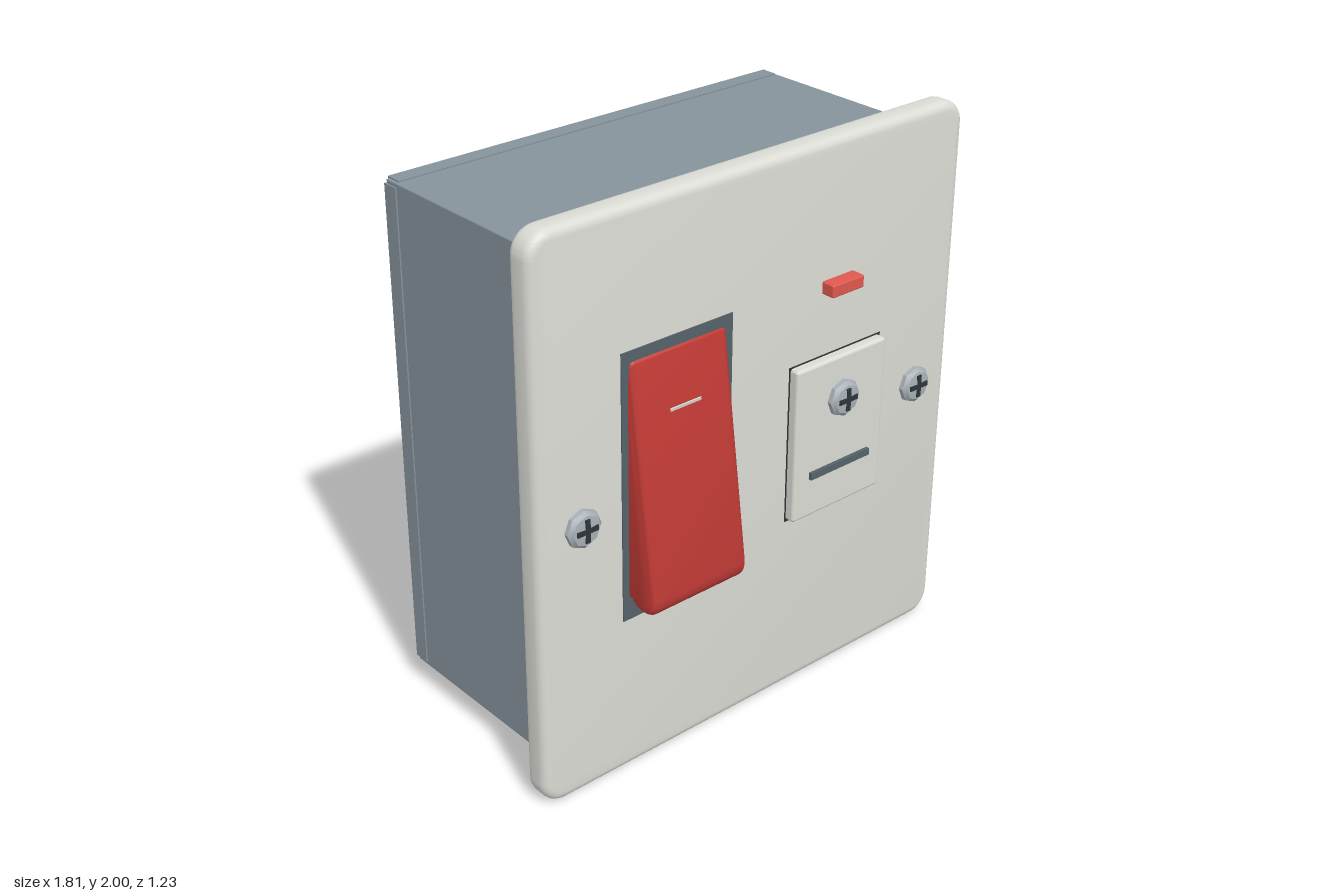
import * as THREE from 'three';
import { toCreasedNormals } from 'three/addons/utils/BufferGeometryUtils.js';
import { RoundedBoxGeometry } from 'three/addons/geometries/RoundedBoxGeometry.js';

const mat = (color) => new THREE.MeshStandardMaterial({ color });
const M = {
  white: mat(0xdcdcd6), steel: mat(0x87939c), frame: mat(0x56626a), red: mat(0xc03a35),
  neon: mat(0xe0594f), screw: mat(0xa9b1b8), dark: mat(0x2f3638), beige: mat(0xcdc5b0),
  brass: mat(0xc09a55), blue: mat(0x3f70b0), brown: mat(0x7a4526), green: mat(0x2f8a48), yellow: mat(0xd8c832),
};

function add(parent, name, geo, material, x = 0, y = 0, z = 0) {
  const mesh = new THREE.Mesh(geo, material);
  mesh.name = name;
  mesh.position.set(x, y, z);
  parent.add(mesh);
  return mesh;
}

// Box given by its limits, optionally with rounded edges
function box(parent, name, material, [x0, x1], [y0, y1], [z0, z1], r = 0) {
  const s = [x1 - x0, y1 - y0, z1 - z0];
  const geo = r ? new RoundedBoxGeometry(...s, 3, r) : new THREE.BoxGeometry(...s);
  return add(parent, name, geo, material, (x0 + x1) / 2, (y0 + y1) / 2, (z0 + z1) / 2);
}

function roundedRect(w, h, r) {
  const s = new THREE.Shape(), x = w / 2, y = h / 2;
  s.absarc(x - r, y - r, r, 0, Math.PI / 2);
  s.absarc(-x + r, y - r, r, Math.PI / 2, Math.PI);
  s.absarc(-x + r, -y + r, r, Math.PI, Math.PI * 1.5);
  s.absarc(x - r, -y + r, r, Math.PI * 1.5, Math.PI * 2);
  return s;
}

// Domed screw head facing +z, its base at the group origin
function screwHead(name, r, h, cross) {
  const g = new THREE.Group();
  g.name = name;
  const pts = [[0, 0], [r, 0], [r, h * 0.5], [r * 0.8, h * 0.85], [0, h]].map((p) => new THREE.Vector2(...p));
  const geo = new THREE.LatheGeometry(pts, cross ? 8 : 16).rotateX(Math.PI / 2);
  add(g, 'screwDome', toCreasedNormals(geo, 0.6), M.screw);
  const w = r * 0.13, l = r * 0.62;
  box(g, 'driverSlot', M.dark, [-l, l], [-w, w], [h * 0.6, h * 1.04]);
  if (cross) box(g, 'driverSlot', M.dark, [-w, w], [-l, l], [h * 0.6, h * 1.04]);
  return g;
}

// Screw clamp seen from the rear; origin on the shelf underside, z = 0 at the base block face
function terminal(pinMaterial) {
  const g = new THREE.Group();
  g.name = 'terminal';
  for (const s of [-1, 1]) {
    const side = (a, b) => [Math.min(s * a, s * b), Math.max(s * a, s * b)];
    box(g, 'insulatorCheek', M.dark, side(0.11, 0.135), [0.03, 0.23], [-0.11, 0]);
    box(g, 'clampSide', M.brass, side(0.088, 0.11), [0.03, 0.21], [-0.1, 0]);
  }
  box(g, 'insulatorBack', M.dark, [-0.11, 0.11], [0.03, 0.23], [-0.015, 0]);
  // Brass face with a round wire opening
  const face = new THREE.Shape([[-0.09, 0.03], [0.09, 0.03], [0.09, 0.15], [-0.09, 0.15]].map((p) => new THREE.Vector2(...p)));
  face.holes.push(new THREE.Path().absarc(0, 0.09, 0.045, 0, Math.PI * 2, true));
  add(g, 'clampFace', new THREE.ExtrudeGeometry(face, { depth: 0.015, bevelEnabled: false, curveSegments: 12 }), M.brass, 0, 0, -0.1);
  add(g, 'clampRing', new THREE.TorusGeometry(0.055, 0.012, 8, 20), M.brass, 0, 0.09, -0.1);
  box(g, 'pressurePlate', M.screw, [-0.088, 0.088], [0.15, 0.24], [-0.112, -0.1]);
  box(g, 'pressureTop', M.screw, [-0.088, 0.088], [0.15, 0.17], [-0.1, -0.015]);
  // Threaded shaft and slotted head
  add(g, 'screwShaft', new THREE.CylinderGeometry(0.022, 0.022, 0.13, 12).rotateX(Math.PI / 2), M.screw, 0, 0.17, -0.085);
  for (let i = 0; i < 4; i++) add(g, 'thread', new THREE.TorusGeometry(0.023, 0.007, 6, 14), M.screw, 0, 0.17, -0.03 - i * 0.02);
  const head = screwHead('terminalScrew', 0.05, 0.03, false);
  head.rotation.set(0, Math.PI, 0.5);
  head.position.set(0, 0.17, -0.142);
  g.add(head);
  // Coloured wire marker under the shelf
  box(g, 'wireMarker', pinMaterial, [-0.085, 0.085], [-0.035, 0.01], [-0.11, -0.05], 0.015);
  if (pinMaterial === M.green) box(g, 'wireMarkerStripe', M.yellow, [-0.03, 0.03], [-0.037, 0], [-0.1, -0.06]);
  return g;
}

// Base block and shelf carrying one or more terminals
function terminalBlock(x0, x1, y, entries) {
  const g = new THREE.Group();
  g.name = 'terminalBlock';
  box(g, 'blockBase', M.beige, [x0, x1], [y, y + 0.3], [-0.44, -0.375], 0.02);
  box(g, 'blockShelf', M.beige, [x0, x1], [y, y + 0.025], [-0.59, -0.42], 0.01);
  if (entries.length > 1) box(g, 'divider', M.beige, [-0.01, 0.01], [y, y + 0.3], [-0.59, -0.42]);
  for (const [x, material] of entries) {
    const t = terminal(material);
    t.position.set(x, y, -0.44);
    g.add(t);
  }
  return g;
}

export function createModel() {
  const model = new THREE.Group();
  model.name = 'switchedSpur';

  // Face plate with softened edges
  const plate = new THREE.ExtrudeGeometry(roundedRect(1.81, 2, 0.085), {
    depth: 0.04, bevelThickness: 0.03, bevelSize: 0.03, bevelOffset: -0.03, bevelSegments: 4, curveSegments: 8,
  });
  add(model, 'facePlate', toCreasedNormals(plate, 0.7), M.white, 0, 1, 0.42);

  // Steel back box: open frame, rear panel and folded lips
  const wall = roundedRect(1.62, 1.8, 0.005);
  wall.holes.push(new THREE.Path([[-0.79, -0.88], [-0.79, 0.88], [0.79, 0.88], [0.79, -0.88]].map((p) => new THREE.Vector2(...p))));
  add(model, 'boxWalls', new THREE.ExtrudeGeometry(wall, { depth: 0.72, bevelEnabled: false, curveSegments: 2 }), M.steel, 0, 1, -0.35);
  box(model, 'boxRear', M.steel, [-0.805, 0.805], [0.105, 1.895], [-0.36, -0.34]);
  for (const s of [-1, 1]) {
    add(model, 'foldedLip', new THREE.BoxGeometry(0.01, 1.77, 0.06), M.steel, s * 0.81, 1, -0.33);
    add(model, 'foldedLip', new THREE.BoxGeometry(1.6, 0.01, 0.06), M.steel, 0, 1 + s * 0.9, -0.33);
  }

  // Notched knockout on the rear panel
  const knockout = new THREE.Shape();
  knockout.absarc(0, 0, 0.075, Math.PI * 0.62, Math.PI * 2.38);
  knockout.lineTo(0.015, 0.02);
  knockout.lineTo(-0.015, 0.02);
  add(model, 'knockout', new THREE.ExtrudeGeometry(knockout, { depth: 0.01, bevelEnabled: false }), M.dark, -0.665, 1, -0.366);

  // Rocker switch: wedge side profile extruded across, in a shallow frame
  box(model, 'rockerFrame', M.frame, [-0.575, -0.125], [0.585, 1.535], [0.46, 0.494]);
  const side = new THREE.Shape();
  side.moveTo(0.4, 1.5);
  side.lineTo(0.485, 1.5);
  side.quadraticCurveTo(0.5, 1.5, 0.502, 1.48);
  side.lineTo(0.612, 0.7);
  side.quadraticCurveTo(0.615, 0.635, 0.56, 0.635);
  side.quadraticCurveTo(0.52, 0.635, 0.5, 0.66);
  side.lineTo(0.4, 0.66);
  const rocker = new THREE.ExtrudeGeometry(side, {
    depth: 0.35, bevelThickness: 0.025, bevelSize: 0.02, bevelOffset: -0.02, bevelSegments: 4, curveSegments: 8,
  }).rotateY(-Math.PI / 2);
  add(model, 'rocker', toCreasedNormals(rocker, 0.7), M.red, -0.175, 0, 0);
  const mark = box(model, 'rockerMark', M.white, [-0.41, -0.285], [1.3, 1.31], [0.522, 0.53]);
  mark.rotation.x = 0.14;

  // Neon indicator
  box(model, 'neonIndicator', M.neon, [0.27, 0.412], [1.477, 1.522], [0.46, 0.54], 0.006);

  // Fuse carrier with pull slot
  box(model, 'fuseRecess', M.dark, [0.132, 0.553], [0.675, 1.255], [0.47, 0.492]);
  box(model, 'fuseCarrier', M.white, [0.137, 0.548], [0.682, 1.25], [0.46, 0.527], 0.012);
  box(model, 'fuseSlot', M.frame, [0.205, 0.48], [0.83, 0.855], [0.5, 0.54]);

  // Cross-head screws on the front
  for (const [x, y, z] of [[-0.735, 1, 0.488], [0.735, 1, 0.488], [0.345, 1.095, 0.525]]) {
    const s = screwHead('frontScrew', 0.066, 0.036, true);
    s.position.set(x, y, z);
    model.add(s);
  }

  // Rear moulding with its terminal blocks
  box(model, 'rearMoulding', M.beige, [-0.42, 0.76], [0.38, 1.55], [-0.378, -0.355]);
  for (const y of [1.25, 0.4]) model.add(terminalBlock(-0.42, 0.42, y, [[0.245, M.blue], [-0.255, M.brown]]));
  model.add(terminalBlock(0.42, 0.76, 0.85, [[0.585, M.green]]));

  return model;
}
